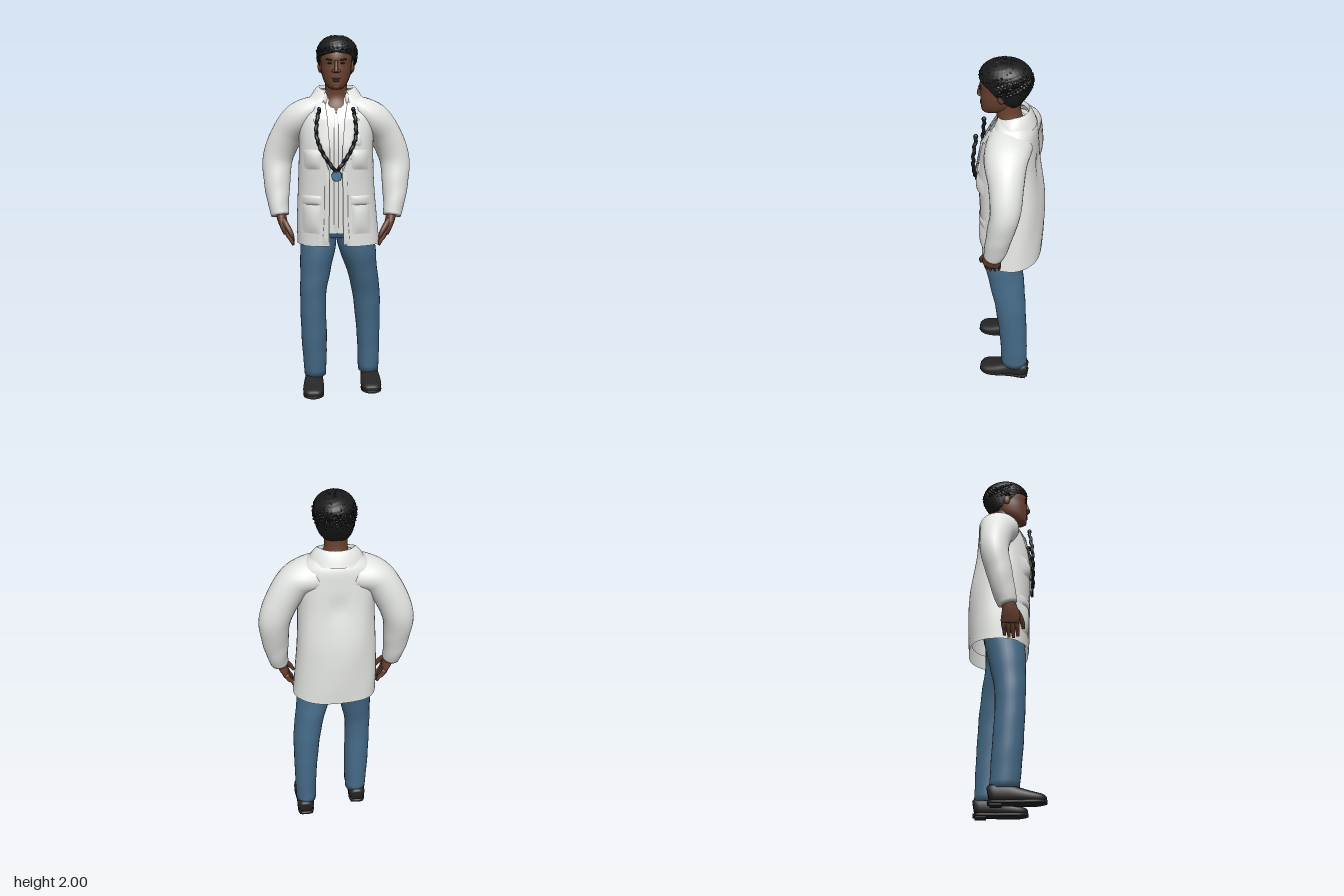
import * as THREE from 'three';
import { mergeGeometries } from 'three/addons/utils/BufferGeometryUtils.js';

const paint = (name, color) => Object.assign(new THREE.MeshStandardMaterial({ color }), { name });
const V = (x, y, z) => new THREE.Vector3(x, y, z);

// Interpolated section [centre, rx, rz] at t in 0..1 through rows of [x, y, z, rx, rz]
function sections(rows) {
  const c = new THREE.CatmullRomCurve3(rows.map(r => V(r[0], r[1], r[2])), false, 'catmullrom', 0.5);
  const s = new THREE.CatmullRomCurve3(rows.map(r => V(r[3], r[4], 0)), false, 'catmullrom', 0.5);
  return t => ({ c: c.getPoint(t), s: s.getPoint(t), dir: c.getTangent(t) });
}

// Skin over rows listed bottom to top; gap(y) is the half angle left open at the front
function loft(rows, { n = 28, steps = 6, p = 2, tilt = false, gap = null, caps = !gap, bump = null, warp = null } = {}) {
  const at = sections(rows), m = (rows.length - 1) * steps, pos = [], idx = [];
  const cols = gap ? n + 1 : n, rings = [];
  for (let i = 0; i <= m; i++) rings.push([i / m, 1]);
  if (caps) { rings.unshift([0, 0.001]); rings.push([1, 0.001]); }
  const sp = v => Math.sign(v) * Math.pow(Math.abs(v), 2 / p);
  for (const [t, k] of rings) {
    const { c, s, dir } = at(t);
    const u = V(1, 0, 0), v = V(0, 0, 1);
    if (tilt) { u.addScaledVector(dir, -dir.x).normalize(); v.crossVectors(u, dir); }
    const g = gap ? gap(c.y) : 0;
    for (let j = 0; j < cols; j++) {
      const a = Math.PI / 2 + g + (2 * Math.PI - 2 * g) * j / n;
      const f = k * (bump ? bump(a, c.y) : 1);
      const q = c.clone().addScaledVector(u, s.x * f * sp(Math.cos(a))).addScaledVector(v, s.y * f * sp(Math.sin(a)));
      if (warp) warp(q);
      pos.push(q.x, q.y, q.z);
    }
  }
  for (let i = 0; i < rings.length - 1; i++) for (let j = 0; j < n; j++) {
    const a = i * cols + j, b = i * cols + (j + 1) % cols;
    idx.push(a, a + cols, b, b, a + cols, b + cols);
  }
  return surface(pos, idx);
}

function surface(pos, idx) {
  const g = new THREE.BufferGeometry();
  g.setAttribute('position', new THREE.Float32BufferAttribute(pos, 3));
  g.setIndex(idx);
  g.computeVertexNormals();
  return g;
}

const TORSO = [
  [0.013, 0.86, -0.035, 0.232, 0.165], [0.005, 1.0, -0.035, 0.225, 0.168], [0, 1.2, -0.03, 0.212, 0.17],
  [0, 1.4, -0.014, 0.205, 0.16], [0, 1.55, -0.022, 0.21, 0.138], [0, 1.63, -0.04, 0.18, 0.112],
  [0, 1.675, -0.04, 0.14, 0.092], [0, 1.705, -0.04, 0.1, 0.082]];
const P = 2.4;

// Depth of the coat front at x, y
function frontZ(x, y) {
  let i = 0;
  while (i < TORSO.length - 2 && TORSO[i + 1][1] < y) i++;
  const A = TORSO[i], B = TORSO[i + 1], k = (y - A[1]) / (B[1] - A[1]);
  const [cx, , cz, rx, rz] = A.map((v, j) => v + (B[j] - v) * k);
  const d = Math.min(0.99, Math.abs((x - cx) / rx));
  return cz + rz * Math.pow(1 - Math.pow(d, P), 1 / P);
}

// Cloth patch lying on the chest, rows of [y, x1, x2] bottom to top
function patch(rows, lift, puff = 0, n = 8) {
  const pos = [], idx = [], m = (rows.length - 1) * 6;
  for (let i = 0; i <= m; i++) {
    const f = Math.min(Math.floor(i / 6), rows.length - 2), k = i / 6 - f;
    const [y, a, b] = rows[f].map((v, j) => v + (rows[f + 1][j] - v) * k);
    for (let j = 0; j <= n; j++) {
      const x = a + (b - a) * j / n;
      const edge = i === 0 || i === m || j === 0 || j === n;
      pos.push(x, y, frontZ(x, y) + (edge ? lift - 0.004 : lift + puff * Math.sin(Math.PI * j / n) * Math.sin(Math.PI * i / m)));
      if (i < m && j < n) { const q = i * (n + 1) + j; idx.push(q, q + 1, q + n + 1, q + 1, q + n + 2, q + n + 1); }
    }
  }
  return surface(pos, idx);
}

export function createModel() {
  const root = new THREE.Group();
  const coat = paint('white cloth', 0xe4e6e3), skin = paint('brown skin', 0x6a4230), hair = paint('black hair', 0x1b1b1b);
  const denim = paint('blue denim', 0x446986), leather = paint('dark leather', 0x262626), rubber = paint('black rubber', 0x161819);
  const steel = paint('blue metal', 0x4a7594), lip = paint('dark lips', 0x59342a);
  coat.side = hair.side = THREE.DoubleSide;
  const add = (name, geo, mat, parent = root) => {
    const m = new THREE.Mesh(geo, mat);
    m.name = name;
    parent.add(m);
    return m;
  };
  const ball = (name, mat, x, y, z, sx, sy, sz) => {
    const m = add(name, new THREE.SphereGeometry(1, 14, 10), mat);
    m.position.set(x, y, z);
    m.scale.set(sx, sy, sz);
    return m;
  };

  // Coat body with an open front, and the shirt inside it
  const half = w => Math.asin(Math.pow(Math.min(0.95, w / 0.21), P / 2));
  const ramp = (y, pts) => {
    let i = 0;
    while (i < pts.length - 2 && pts[i + 1][0] < y) i++;
    const [a, b] = [pts[i], pts[i + 1]];
    return a[1] + (b[1] - a[1]) * THREE.MathUtils.clamp((y - a[0]) / (b[0] - a[0]), 0, 1);
  };
  const folds = (a, y) => {
    const back = Math.max(0, -Math.sin(a));
    const dent = 0.07 * Math.exp(-Math.pow(Math.cos(a) * 6, 2) - Math.pow((y - 1.43) * 16, 2));
    return 1 + back * (0.018 * Math.sin(5 * a + y * 9) * Math.min(1, (1.7 - y) * 3) - dent);
  };
  add('coatBody', loft(TORSO, { n: 56, p: P, bump: folds, gap: y => half(ramp(y, [[0.86, 0.042], [0.95, 0.04], [1.3, 0.035], [1.6, 0.06], [1.7, 0.11]])) }), coat);
  const inner = TORSO.slice(1).map(r => [r[0], r[1] - 0.008, r[2], r[3] - 0.02, r[4] - 0.014]);
  inner[0][1] = 0.93;
  add('shirt', loft(inner, { n: 48, p: P, gap: y => half(ramp(y, [[0.93, 0.001], [1.585, 0.001], [1.63, 0.028], [1.7, 0.055]])) }), coat);
  add('shirtPlacket', patch([[0.94, -0.012, 0.012], [1.2, -0.012, 0.012], [1.58, -0.012, 0.012]], -0.008), coat);

  // Turned-down collar, higher at the nape
  add('collar', loft([[0, 1.655, -0.035, 0.15, 0.118], [0, 1.7, -0.035, 0.128, 0.1], [0, 1.732, -0.035, 0.098, 0.08], [0, 1.715, -0.035, 0.086, 0.07]],
    { n: 40, gap: () => 0.6, warp: q => { q.y -= Math.max(0, q.z + 0.06) * 0.32; } }), coat);

  for (const s of [1, -1]) {
    const side = s > 0 ? 'left' : 'right';
    const strip = rows => rows.map(([y, a, b]) => s > 0 ? [y, a, b] : [y, -b, -a]);

    // Lapels with a notch, front edge, pockets and flaps
    add(side + 'Lapel', patch(strip([[1.28, 0.03, 0.04], [1.42, 0.035, 0.085], [1.55, 0.045, 0.125], [1.57, 0.048, 0.09], [1.585, 0.05, 0.12], [1.64, 0.06, 0.115]]), 0.013), coat);
    add(side + 'FrontEdge', patch(strip([[0.87, 0.04, 0.075], [1.0, 0.038, 0.065], [1.28, 0.034, 0.06]]), 0.004), coat);
    add(side + 'LowerPocket', patch(strip([[0.93, 0.085, 0.19], [1.1, 0.085, 0.185]]), 0.004, 0.012), coat);
    add(side + 'LowerFlap', patch(strip([[1.09, 0.08, 0.19], [1.14, 0.08, 0.186]]), 0.007, 0.004), coat);
    add(side + 'ChestPocket', patch(strip([[1.28, 0.08, 0.175], [1.39, 0.075, 0.18]]), 0.004, 0.014), coat);

    // Sleeve, continued into the shoulder yoke
    add(side + 'Sleeve', loft([
      [0.312, 1.015, 0.01, 0.049, 0.053], [0.323, 1.09, -0.01, 0.06, 0.062], [0.33, 1.2, -0.034, 0.074, 0.07],
      [0.327, 1.33, -0.06, 0.084, 0.078], [0.276, 1.455, -0.053, 0.089, 0.09], [0.2, 1.55, -0.036, 0.093, 0.112],
      [0.1, 1.592, -0.039, 0.082, 0.116], [0, 1.6, -0.047, 0.07, 0.108]].map(r => [r[0] * s, ...r.slice(1)]),
    { tilt: true, bump: (a, y) => 1 + 0.02 * Math.sin(y * 45 + 2 * a) * Math.max(0, 1.35 - y) * 3 }), coat);

    // Hand with four fingers and a thumb
    const hand = new THREE.Group();
    hand.name = side + 'Hand';
    root.add(hand);
    const limb = (name, rows) => add(name, loft(rows.map(r => [r[0] * s, ...r.slice(1)]), { n: 12, steps: 3, tilt: true }), skin, hand);
    limb('palm', [[0.278, 0.92, 0.024, 0.017, 0.046], [0.29, 0.96, 0.026, 0.024, 0.049], [0.302, 1.0, 0.02, 0.027, 0.04], [0.312, 1.05, 0.008, 0.03, 0.035]]);
    for (let f = 0; f < 4; f++) {
      const z = -0.01 + f * 0.023, drop = [0.015, 0.004, 0, 0.008][f];
      limb('finger', [[0.238, 0.852 + drop, z + 0.006, 0.007, 0.007], [0.25, 0.88 + drop, z + 0.004, 0.011, 0.011], [0.265, 0.91, z + 0.001, 0.013, 0.013], [0.278, 0.945, z - 0.002, 0.014, 0.014]]);
    }
    limb('thumb', [[0.236, 0.905, 0.094, 0.008, 0.008], [0.251, 0.935, 0.089, 0.013, 0.013], [0.274, 0.97, 0.07, 0.016, 0.016], [0.298, 1.0, 0.04, 0.017, 0.017]]);

    // Face sides
    ball(side + 'Ear', skin, 0.088 * s, 1.83, 0.01, 0.012, 0.032, 0.02);
    ball(side + 'Eye', rubber, 0.034 * s, 1.842, 0.125, 0.013, 0.004, 0.008);
    ball(side + 'Brow', hair, 0.036 * s, 1.861, 0.127, 0.022, 0.004, 0.007).rotation.z = 0.12 * s;
    ball(side + 'Nostril', skin, 0.013 * s, 1.802, 0.136, 0.011, 0.009, 0.011);

    // Stethoscope tube, slightly wavy, with its earpiece
    const path = new THREE.CatmullRomCurve3([[0.09, 1.6, 0.14], [0.103, 1.54, 0.148], [0.104, 1.46, 0.156], [0.075, 1.38, 0.16], [0.03, 1.31, 0.16], [0, 1.272, 0.158]].map(q => V(q[0] * s, q[1], q[2])));
    const hose = new THREE.CatmullRomCurve3(path.getSpacedPoints(32).map((q, i) => V(q.x + 0.002 * Math.sin(i * 1.9), q.y, q.z + 0.003 * Math.cos(i * 1.3))));
    add(side + 'Tube', new THREE.TubeGeometry(hose, 96, 0.0095, 8), rubber);
    ball(side + 'Earpiece', rubber, 0.09 * s, 1.603, 0.142, 0.011, 0.013, 0.013);
  }
  add('breastPocket', patch([[1.41, 0.105, 0.135], [1.47, 0.105, 0.135]], 0.006, 0.004), coat);

  // Stethoscope chest piece
  const disc = add('chestPiece', new THREE.CylinderGeometry(0.026, 0.026, 0.014, 24), steel);
  disc.rotation.x = Math.PI / 2;
  disc.position.set(0.003, 1.25, 0.156);
  add('chestPieceRim', new THREE.TorusGeometry(0.026, 0.003, 8, 24), rubber).position.set(0.003, 1.25, 0.156);

  // Neck, head and face
  add('neck', loft([[0, 1.54, -0.02, 0.12, 0.1], [0, 1.61, -0.025, 0.11, 0.092], [0, 1.665, -0.02, 0.075, 0.07], [0, 1.72, -0.008, 0.06, 0.064], [0, 1.8, 0, 0.062, 0.068]]), skin);
  add('head', loft([[0, 1.708, 0.088, 0.026, 0.03], [0, 1.722, 0.07, 0.046, 0.059], [0, 1.755, 0.046, 0.067, 0.085], [0, 1.8, 0.03, 0.079, 0.103],
    [0, 1.84, 0.018, 0.083, 0.114], [0, 1.87, 0.014, 0.086, 0.12], [0, 1.91, 0.005, 0.086, 0.118], [0, 1.95, 0, 0.066, 0.09], [0, 1.972, 0, 0.03, 0.04]], { p: 2.2 }), skin);
  add('nose', loft([[0, 1.793, 0.134, 0.011, 0.012], [0, 1.802, 0.137, 0.013, 0.016], [0, 1.825, 0.132, 0.009, 0.015], [0, 1.855, 0.125, 0.008, 0.011]], { n: 14 }), skin);
  ball('upperLip', lip, 0, 1.763, 0.127, 0.024, 0.005, 0.01);
  ball('lowerLip', lip, 0, 1.751, 0.125, 0.02, 0.006, 0.011);
  ball('chin', skin, 0, 1.722, 0.113, 0.024, 0.017, 0.017);

  // Short curly hair: a bumpy shell open around the face, covered in small tufts
  const curls = (a, y) => 1 + 0.016 * Math.sin(a * 21 + y * 160) * Math.sin(y * 230 - a * 13);
  add('hair', loft([[0, 1.768, -0.03, 0.062, 0.044], [0.002, 1.8, -0.018, 0.086, 0.078], [0.004, 1.85, -0.002, 0.101, 0.122], [0.005, 1.9, 0.004, 0.107, 0.131],
    [0.005, 1.94, 0.004, 0.101, 0.124], [0.004, 1.97, 0.004, 0.079, 0.096], [0.003, 1.988, 0.004, 0.047, 0.058], [0.002, 1.994, 0.004, 0.004, 0.004]],
  { n: 96, steps: 7, bump: curls, gap: y => ramp(y, [[1.77, 1.75], [1.81, 1.3], [1.87, 1.05], [1.885, 0.75], [1.9, 0.001]]) }), hair);
  const tufts = [];
  for (let i = 0; i < 420; i++) {
    const h = 0.98 - 1.5 * i / 420, a = i * 2.39996, r = Math.sqrt(1 - h * h);
    if (h < 0.12 && Math.sin(a) > 0.2) continue;
    const tuft = new THREE.IcosahedronGeometry(0.011, 0).scale(1.3, 0.6, 1).rotateY(i * 1.7).rotateZ(i * 0.9);
    tufts.push(tuft.translate(0.005 + 0.105 * r * Math.cos(a), 1.892 + 0.097 * h, 0.003 + 0.128 * r * Math.sin(a)));
  }
  add('hairTufts', mergeGeometries(tufts), hair);

  // Trousers, the left leg set back
  const legs = {
    right: [[-0.12, 0.085, -0.005, 0.062, 0.076], [-0.125, 0.3, 0.012, 0.072, 0.08], [-0.13, 0.55, 0.026, 0.073, 0.08], [-0.117, 0.7, 0.018, 0.085, 0.092], [-0.1, 0.86, 0, 0.1, 0.108], [-0.09, 1.02, -0.02, 0.09, 0.1]],
    left: [[0.19, 0.085, -0.084, 0.06, 0.079], [0.187, 0.3, -0.077, 0.066, 0.08], [0.173, 0.55, -0.055, 0.079, 0.089], [0.147, 0.7, -0.028, 0.087, 0.1], [0.112, 0.86, -0.002, 0.106, 0.106], [0.09, 1.02, -0.02, 0.09, 0.1]]
  };
  for (const side in legs) add(side + 'TrouserLeg', loft(legs[side], { bump: (a, y) => 1 + 0.01 * Math.sin(y * 40 + a) }), denim);
  add('trouserSeat', loft([[0.005, 0.9, -0.01, 0.14, 0.09], [0.005, 0.95, -0.012, 0.18, 0.108], [0, 1.05, -0.012, 0.18, 0.108]], { p: 2.3 }), denim);

  // Shoes: upper, sole and heel
  for (const [side, x, z0, turn] of [['right', -0.127, -0.09, 0], ['left', 0.194, -0.17, 0.03]]) {
    const shoe = new THREE.Group();
    shoe.name = side + 'Shoe';
    shoe.position.set(x, 0, z0);
    shoe.rotation.y = turn;
    root.add(shoe);
    add('upper', loft([[0, 0.055, 0.004, 0.036, 0.036], [0, 0.06, 0.03, 0.049, 0.05], [0, 0.06, 0.09, 0.05, 0.052], [0, 0.05, 0.15, 0.056, 0.042], [0, 0.04, 0.22, 0.059, 0.031], [0, 0.035, 0.27, 0.05, 0.024], [0, 0.031, 0.292, 0.026, 0.013]],
      { tilt: true, p: 2.5, steps: 4 }), leather, shoe);
    add('sole', loft([[0, 0.016, 0, 0.032, 0.008], [0, 0.016, 0.03, 0.048, 0.009], [0, 0.016, 0.12, 0.049, 0.009], [0, 0.016, 0.22, 0.059, 0.009], [0, 0.019, 0.27, 0.049, 0.009], [0, 0.021, 0.295, 0.024, 0.008]],
      { tilt: true, p: 5, steps: 4 }), leather, shoe);
    add('heel', new THREE.BoxGeometry(0.08, 0.016, 0.06), leather, shoe).position.set(0, 0.008, 0.042);
  }
  return root;
}
